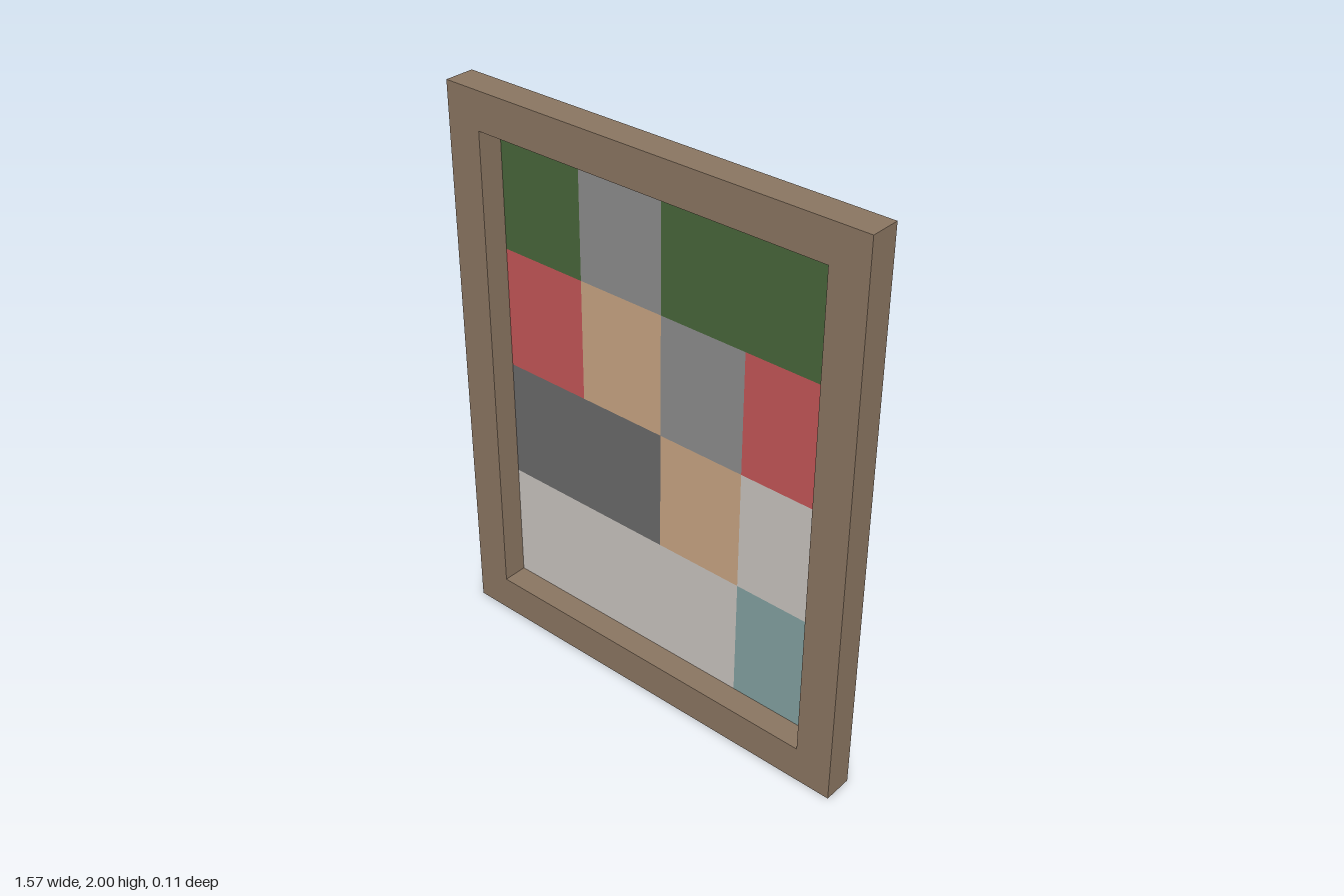
import * as THREE from 'three';

const mat = (name, color) => {
  const m = new THREE.MeshStandardMaterial({ color });
  m.name = name;
  return m;
};

export function createModel() {
  const group = new THREE.Group();
  group.name = 'framedPicture';

  const wood = mat('brown wood', 0x8a7561);
  const paint = {
    G: mat('green', 0x48663a),
    S: mat('grey', 0x8d8d8d),
    R: mat('red', 0xc45557),
    T: mat('tan', 0xc9a483),
    D: mat('dark grey', 0x696969),
    L: mat('light grey', 0xc9c4be),
    A: mat('teal', 0x83a1a0),
  };

  const W = 0.787, H = 2, front = 0.053, back = -0.053, recess = -0.04;

  const add = (name, geometry, material) => {
    const mesh = new THREE.Mesh(geometry, material);
    mesh.name = name;
    group.add(mesh);
    return mesh;
  };

  // Picture grid edges, left to right and top to bottom
  const xs = [-0.657, -0.329, 0, 0.325, 0.655];
  const ys = [1.868, 1.434, 1.0, 0.568, 0.132];

  // Frame border with a rectangular opening
  const shape = new THREE.Shape([[-W, 0], [W, 0], [W, H], [-W, H]].map(p => new THREE.Vector2(...p)));
  shape.holes.push(new THREE.Path(
    [[xs[0], ys[4]], [xs[0], ys[0]], [xs[4], ys[0]], [xs[4], ys[4]]].map(p => new THREE.Vector2(...p))));
  const border = new THREE.ExtrudeGeometry(shape, { depth: front - recess, bevelEnabled: false });
  border.translate(0, 0, recess);
  add('frame', border, wood);

  // Solid back board
  const board = add('backBoard', new THREE.BoxGeometry(2 * W, H, recess - back), wood);
  board.position.set(0, H / 2, (recess + back) / 2);

  // Painted panels: equal neighbours in a row are merged into one plate
  const rows = ['GSGG', 'RTSR', 'DDTL', 'LLLA'];
  const thick = 0.004;
  rows.forEach((row, r) => {
    for (let c = 0; c < 4;) {
      let end = c + 1;
      while (end < 4 && row[end] === row[c]) end++;
      const w = xs[end] - xs[c], h = ys[r] - ys[r + 1];
      const panel = add(`panelRow${r + 1}Column${c + 1}`, new THREE.BoxGeometry(w, h, thick), paint[row[c]]);
      panel.position.set(xs[c] + w / 2, ys[r + 1] + h / 2, recess + thick / 2);
      c = end;
    }
  });

  return group;
}
